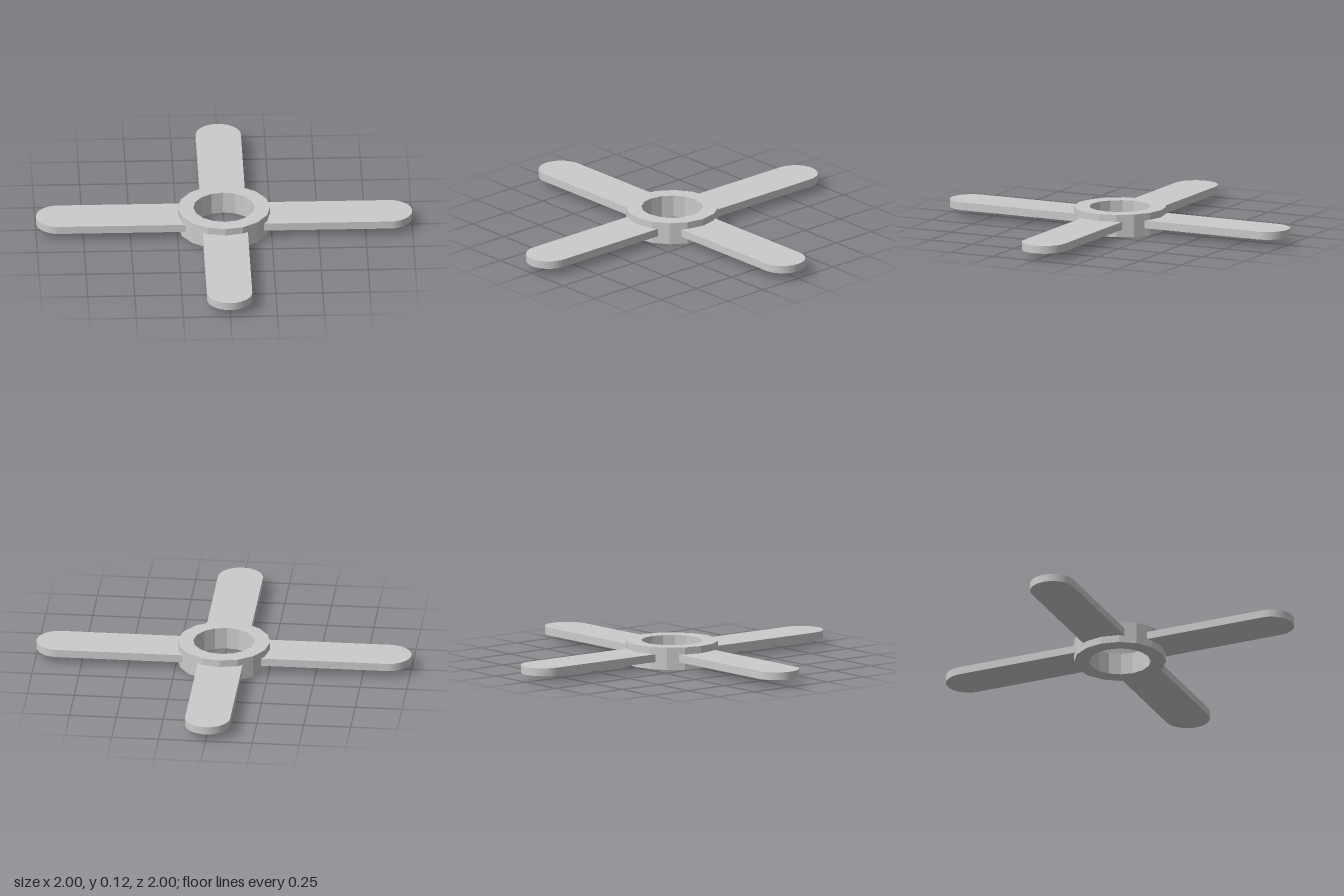
import * as THREE from 'three';

const material = new THREE.MeshStandardMaterial({ color: 0xcccccc, flatShading: true });

// Extrude a plan-view shape upwards from y0 to y1
function slab(name, shape, y0, y1, curveSegments = 12) {
  const geometry = new THREE.ExtrudeGeometry(shape, { depth: y1 - y0, bevelEnabled: false, curveSegments });
  geometry.rotateX(-Math.PI / 2);
  geometry.translate(0, y0, 0);
  const mesh = new THREE.Mesh(geometry, material);
  mesh.name = name;
  return mesh;
}

function ringPoints(radius, sides) {
  return Array.from({ length: sides }, (_, i) => {
    const a = (i / sides) * Math.PI * 2;
    return new THREE.Vector2(Math.cos(a) * radius, Math.sin(a) * radius);
  });
}

export function createModel() {
  const group = new THREE.Group();
  group.name = 'fourBladeRotor';

  // Sixteen-sided hub ring with an open bore
  const hub = new THREE.Shape(ringPoints(0.245, 16));
  hub.holes.push(new THREE.Path(ringPoints(0.163, 16)));
  group.add(slab('hub', hub, 0, 0.12));

  // Flat blades with round tips, rooted inside the hub wall
  const halfWidth = 0.12, root = 0.2;
  const blade = new THREE.Shape();
  blade.moveTo(root, -halfWidth);
  blade.lineTo(1 - halfWidth, -halfWidth);
  blade.absarc(1 - halfWidth, 0, halfWidth, -Math.PI / 2, Math.PI / 2, false);
  blade.lineTo(root, halfWidth);
  blade.closePath();
  ['bladeLeft', 'bladeBack', 'bladeRight', 'bladeFront'].forEach((name, i) => {
    const mesh = slab(name, blade, 0.04, 0.082);
    mesh.rotation.y = (i * Math.PI) / 2;
    group.add(mesh);
  });

  return group;
}
